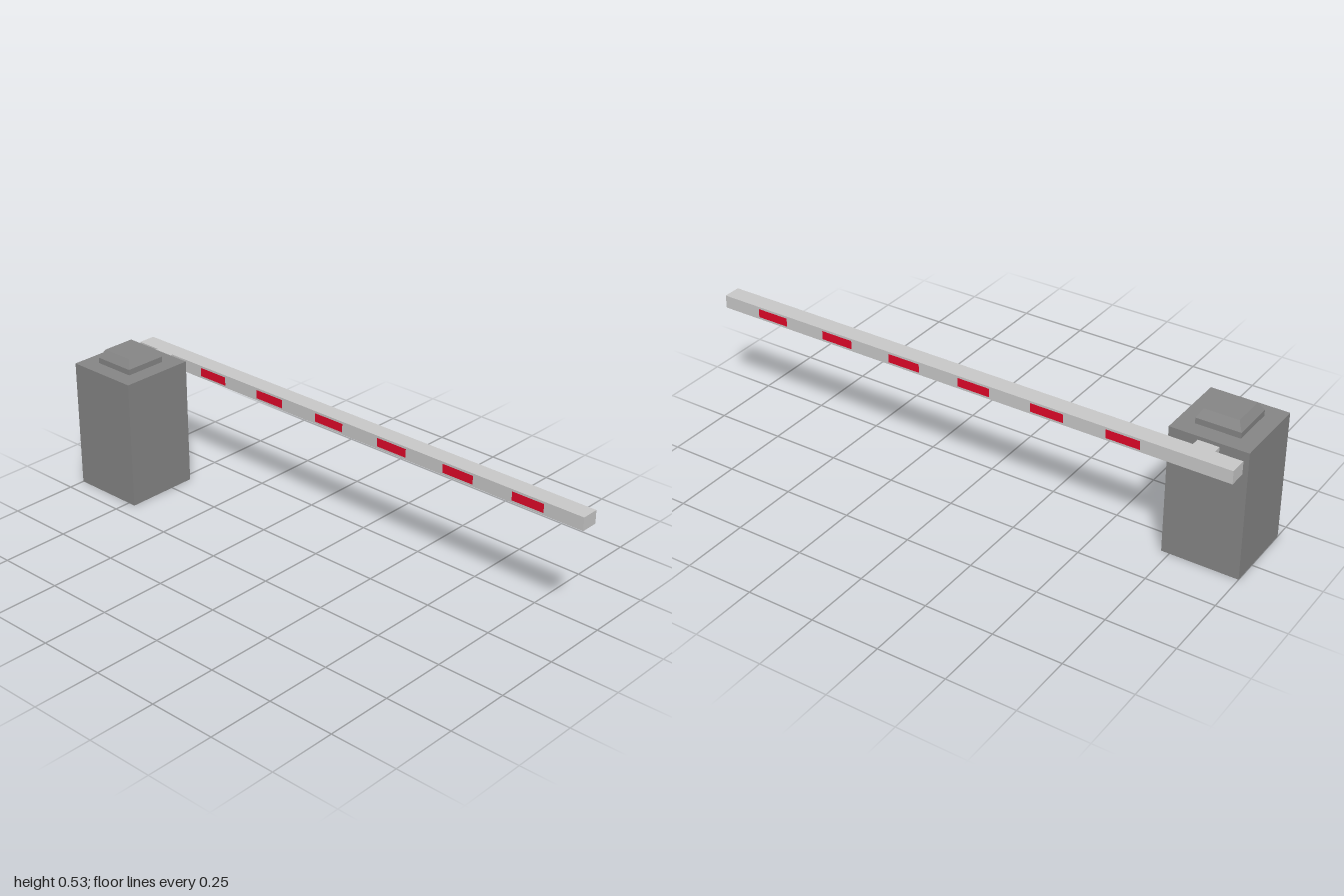
import * as THREE from 'three';

const grey = new THREE.MeshStandardMaterial({ color: 0xcccccc });
const darkGrey = new THREE.MeshStandardMaterial({ color: 0x888888, flatShading: true });
const red = new THREE.MeshStandardMaterial({ color: 0xe4082a });

// Box given by its minimum and maximum corners
function box(name, min, max, material) {
  const size = max.map((v, i) => v - min[i]);
  const mesh = new THREE.Mesh(new THREE.BoxGeometry(...size), material);
  mesh.position.set(...max.map((v, i) => (v + min[i]) / 2));
  mesh.name = name;
  return mesh;
}

export function createModel() {
  const model = new THREE.Group();
  model.name = 'barrierGate';

  // Cabinet housing the drive
  model.add(box('cabinet', [-1, 0, -0.092], [-0.72, 0.479, 0.188], darkGrey));

  // Square cap with a straight rim and a bevelled top
  const profile = [[0, 0], [0.08, 0], [0.08, 0.021], [0.062, 0.052], [0, 0.052]]
    .map(([half, y]) => new THREE.Vector2(half * Math.SQRT2, y));
  const cap = new THREE.Mesh(new THREE.LatheGeometry(profile, 4, Math.PI / 4), darkGrey);
  cap.position.set(-0.86, 0.479, 0.048);
  cap.name = 'cap';
  model.add(cap);

  // Pivot block and boom arm behind the cabinet
  const back = -0.187, front = -0.122;
  model.add(box('pivot', [-0.898, 0.418, front], [-0.822, 0.466, -0.092], grey));
  model.add(box('arm', [-0.995, 0.418, back], [1, 0.466, front], grey));

  // Flat red stripes on both faces of the arm
  const stripes = new THREE.Group();
  stripes.name = 'stripes';
  const stripeGeometry = new THREE.PlaneGeometry(0.124, 0.032);
  for (let i = 0; i < 6; i++) {
    for (const side of [1, -1]) {
      const stripe = new THREE.Mesh(stripeGeometry, red);
      stripe.position.set(-0.612 + i * 0.28, 0.442, side > 0 ? front + 0.0005 : back - 0.0005);
      stripe.rotation.y = side > 0 ? 0 : Math.PI;
      stripe.name = 'stripe';
      stripes.add(stripe);
    }
  }
  model.add(stripes);

  return model;
}
